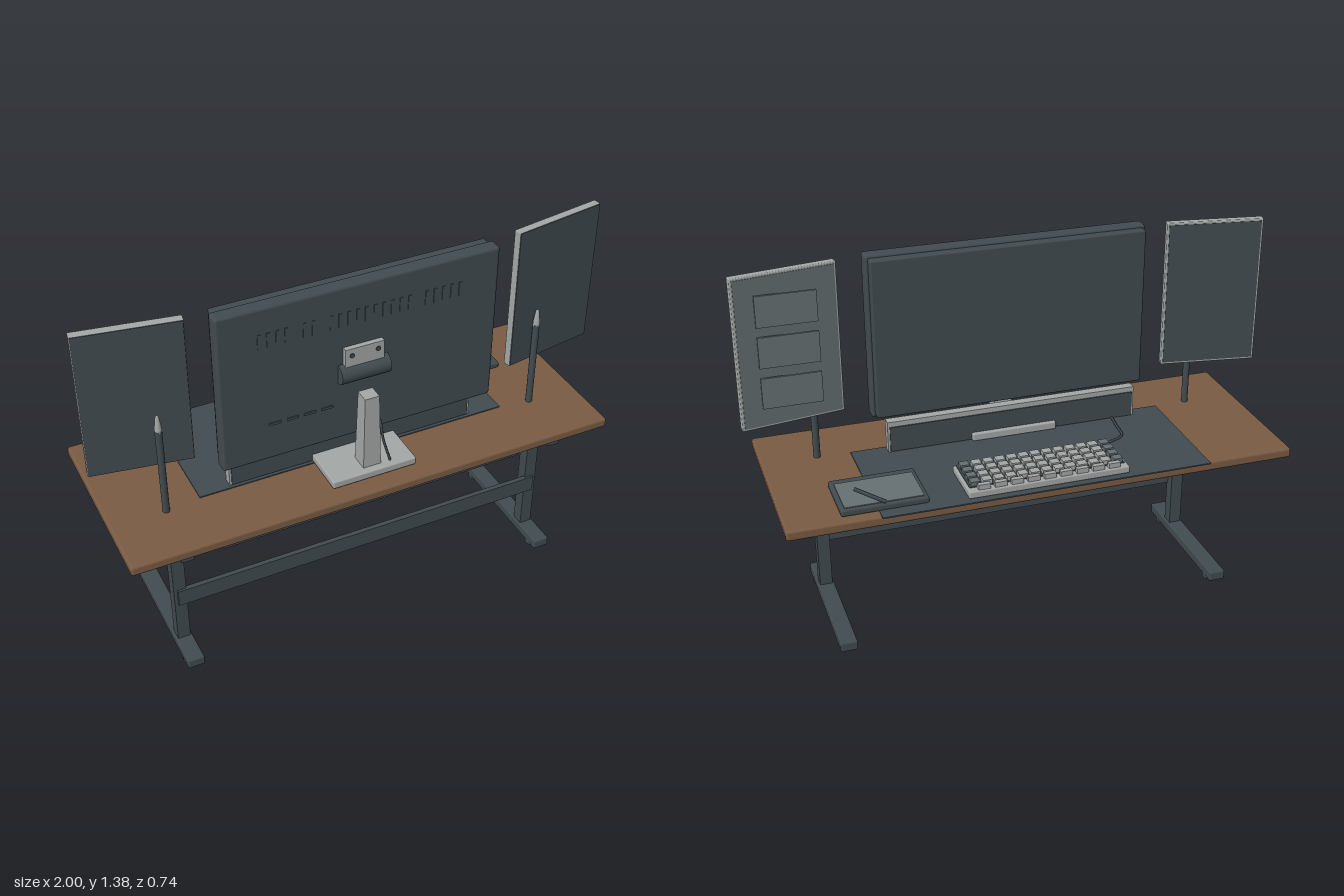
import * as THREE from 'three';
import { RoundedBoxGeometry } from 'three/addons/geometries/RoundedBoxGeometry.js';

const mat = (name, color) => {
  const m = new THREE.MeshStandardMaterial({ color });
  m.name = name;
  return m;
};

export function createModel() {
  const wood = mat('wood', 0x7a5b43);
  const dark = mat('darkSlate', 0x414b50);
  const light = mat('lightGrey', 0xa3a7a6);
  const mid = mat('midGrey', 0x667072);

  const root = new THREE.Group();
  root.name = 'computerDesk';
  const group = (name, parent = root) => {
    const g = new THREE.Group();
    g.name = name;
    parent.add(g);
    return g;
  };
  const mesh = (parent, name, geo, material) => {
    const m = new THREE.Mesh(geo, material);
    m.name = name;
    parent.add(m);
    return m;
  };
  // Box given by its extents on each axis, with optional rounded edges
  const box = (parent, name, material, [x0, x1], [y0, y1], [z0, z1], r = 0) => {
    const s = [x1 - x0, y1 - y0, z1 - z0];
    const geo = r ? new RoundedBoxGeometry(...s, 2, r) : new THREE.BoxGeometry(...s);
    const m = mesh(parent, name, geo, material);
    m.position.set((x0 + x1) / 2, (y0 + y1) / 2, (z0 + z1) / 2);
    return m;
  };
  const cable = (parent, name, pts, r, material = dark) => mesh(parent, name,
    new THREE.TubeGeometry(new THREE.CatmullRomCurve3(pts.map(p => new THREE.Vector3(...p))), 24, r, 6), material);

  // Desk top, mat and under-desk tray
  const desk = group('desk');
  box(desk, 'deskTop', wood, [-0.965, 0.93], [0.583, 0.622], [-0.357, 0.369], 0.01);
  box(desk, 'deskMat', dark, [-0.627, 0.6], [0.621, 0.626], [-0.373, 0.13]);
  box(desk, 'cableTray', dark, [-0.615, 0.577], [0.53, 0.583], [0.21, 0.316]);

  // Legs: column, top beam, foot and pads on each side
  for (const x of [-0.755, 0.72]) {
    const leg = group('leg', desk);
    box(leg, 'column', dark, [x - 0.024, x + 0.024], [0.04, 0.56], [0.158, 0.206]);
    box(leg, 'topBeam', dark, [x - 0.024, x + 0.024], [0.542, 0.584], [-0.25, 0.334]);
    box(leg, 'foot', dark, [x - 0.032, x + 0.032], [0.014, 0.053], [-0.248, 0.33], 0.006);
    for (const z of [-0.187, 0.27]) {
      const pad = mesh(leg, 'footPad', new THREE.CylinderGeometry(0.031, 0.031, 0.016, 16), dark);
      pad.position.set(x, 0.008, z);
    }
  }
  box(desk, 'crossBar', dark, [-0.765, 0.73], [0.225, 0.293], [0.196, 0.215]);

  // Main display: rear shell, front panel, vents and ports
  const display = group('mainDisplay');
  box(display, 'rearShell', dark, [-0.552, 0.513], [0.752, 1.382], [0.13, 0.186], 0.012);
  box(display, 'frontPanel', dark, [-0.538, 0.5], [0.765, 1.372], [0.092, 0.132], 0.006);
  for (let i = 0; i < 24; i++) {
    if (i === 4 || i === 7 || i === 18) continue;
    const x = -0.4 + i * 0.033;
    box(display, 'ventSlot', dark, [x - 0.006, x + 0.006], [1.226, 1.282], [0.184, 0.189]);
  }
  for (let i = 0; i < 4; i++) {
    const x = -0.375 + i * 0.066;
    box(display, 'port', dark, [x, x + 0.045], [0.899, 0.909], [0.184, 0.19]);
  }

  // Display stand: base, upright, hinge and bracket
  const stand = group('displayStand');
  box(stand, 'standBase', light, [-0.185, 0.147], [0.627, 0.658], [0.062, 0.3], 0.006);
  const neck = mesh(stand, 'standNeck', new THREE.CylinderGeometry(0.028 * Math.SQRT2, 0.035 * Math.SQRT2, 0.3, 4, 1).rotateY(Math.PI / 4), light);
  neck.material = light;
  neck.geometry = neck.geometry.toNonIndexed();
  neck.geometry.computeVertexNormals();
  neck.position.set(-0.018, 0.805, 0.237);
  const hinge = mesh(stand, 'hinge', new THREE.CylinderGeometry(0.037, 0.037, 0.19, 20).rotateZ(Math.PI / 2), dark);
  hinge.position.set(-0.018, 1.035, 0.19);
  box(stand, 'bracket', light, [-0.093, 0.056], [1.04, 1.14], [0.18, 0.206]);
  for (const x of [-0.068, 0.032]) {
    const screw = mesh(stand, 'screw', new THREE.CylinderGeometry(0.009, 0.009, 0.006, 12).rotateX(Math.PI / 2), dark);
    screw.position.set(x, 1.113, 0.207);
  }
  cable(stand, 'displayCable', [[0.0, 0.92, 0.184], [0.012, 0.865, 0.205], [0.022, 0.835, 0.245],
    [0.032, 0.75, 0.258], [0.055, 0.658, 0.27]], 0.005);

  // Long bar under the display, dark faces on both sides
  const bar = group('speakerBar');
  box(bar, 'barBody', light, [-0.508, 0.467], [0.627, 0.748], [0.082, 0.118]);
  box(bar, 'barFront', dark, [-0.5, 0.459], [0.63, 0.728], [0.077, 0.083]);
  box(bar, 'barRear', dark, [-0.5, 0.459], [0.63, 0.745], [0.117, 0.122]);

  // Side displays, angled inwards on posts
  for (const s of [-1, 1]) {
    const side = group('sideDisplay');
    side.position.set(s < 0 ? -0.815 : 0.806, 1.098, 0.094);
    side.rotation.y = s * 0.165;
    const w = s < 0 ? 0.185 : 0.191;
    box(side, 'sideFrame', light, [-w, w], [-0.286, 0.286], [-0.016, 0.014], 0.004);
    box(side, 'sideRear', dark, [-w + 0.003, w - 0.003], [-0.282, 0.282], [0.011, 0.017]);
    box(side, 'sideScreen', s < 0 ? dark : mid, [-w + 0.008, w - 0.008], [-0.277, 0.277], [-0.018, -0.012]);

    const post = group('sidePost');
    post.position.set(s < 0 ? -0.757 : 0.723, 0, 0.142);
    mesh(post, 'pole', new THREE.CylinderGeometry(0.013, 0.013, 0.36, 14), dark).position.y = 0.797;
    const tip = [[0.013, 0.97], [0.013, 0.985], [0.007, 1.03], [0.004, 1.038], [0, 1.04]];
    mesh(post, 'poleTip', new THREE.LatheGeometry(tip.map(p => new THREE.Vector2(...p)), 14), light);
  }
  // Three panels on the left display
  for (const y of [0.948, 1.102, 1.254]) {
    box(root, 'displayPanel', mid, [0.7, 0.915], [y - 0.058, y + 0.058], [0.046, 0.055]);
  }

  // Keyboard
  const keyboard = group('keyboard');
  box(keyboard, 'keyboardBody', light, [-0.317, 0.286], [0.627, 0.655], [-0.35, -0.143], 0.006);
  box(keyboard, 'keyDeck', dark, [-0.307, 0.276], [0.652, 0.658], [-0.32, -0.153]);
  for (let r = 0; r < 4; r++) {
    for (let c = 0; c < 13; c++) {
      const x = -0.284 + c * 0.0447, z = -0.3 + r * 0.0425;
      box(keyboard, 'key', c === 0 || c === 12 ? mid : light,
        [x - 0.017, x + 0.017], [0.656, 0.674], [z - 0.016, z + 0.016]);
    }
  }
  for (let c = 0; c < 9; c++) {
    const x = -0.26 + c * 0.061;
    box(keyboard, 'functionKey', light, [x - 0.022, x + 0.022], [0.654, 0.674], [-0.344, -0.325]);
  }
  cable(keyboard, 'keyboardCable', [[-0.29, 0.634, -0.145], [-0.32, 0.632, -0.118], [-0.39, 0.631, -0.083],
    [-0.403, 0.631, -0.065], [-0.41, 0.631, 0], [-0.42, 0.631, 0.085]], 0.005);

  // Drawing tablet with pen
  const tablet = group('drawingTablet');
  box(tablet, 'tabletBody', dark, [0.42, 0.733], [0.622, 0.648], [-0.322, -0.097], 0.008);
  box(tablet, 'tabletSurface', mid, [0.435, 0.718], [0.645, 0.651], [-0.308, -0.132]);
  cable(tablet, 'pen', [[0.575, 0.655, -0.318], [0.625, 0.678, -0.298], [0.675, 0.701, -0.277]], 0.007);

  return root;
}
